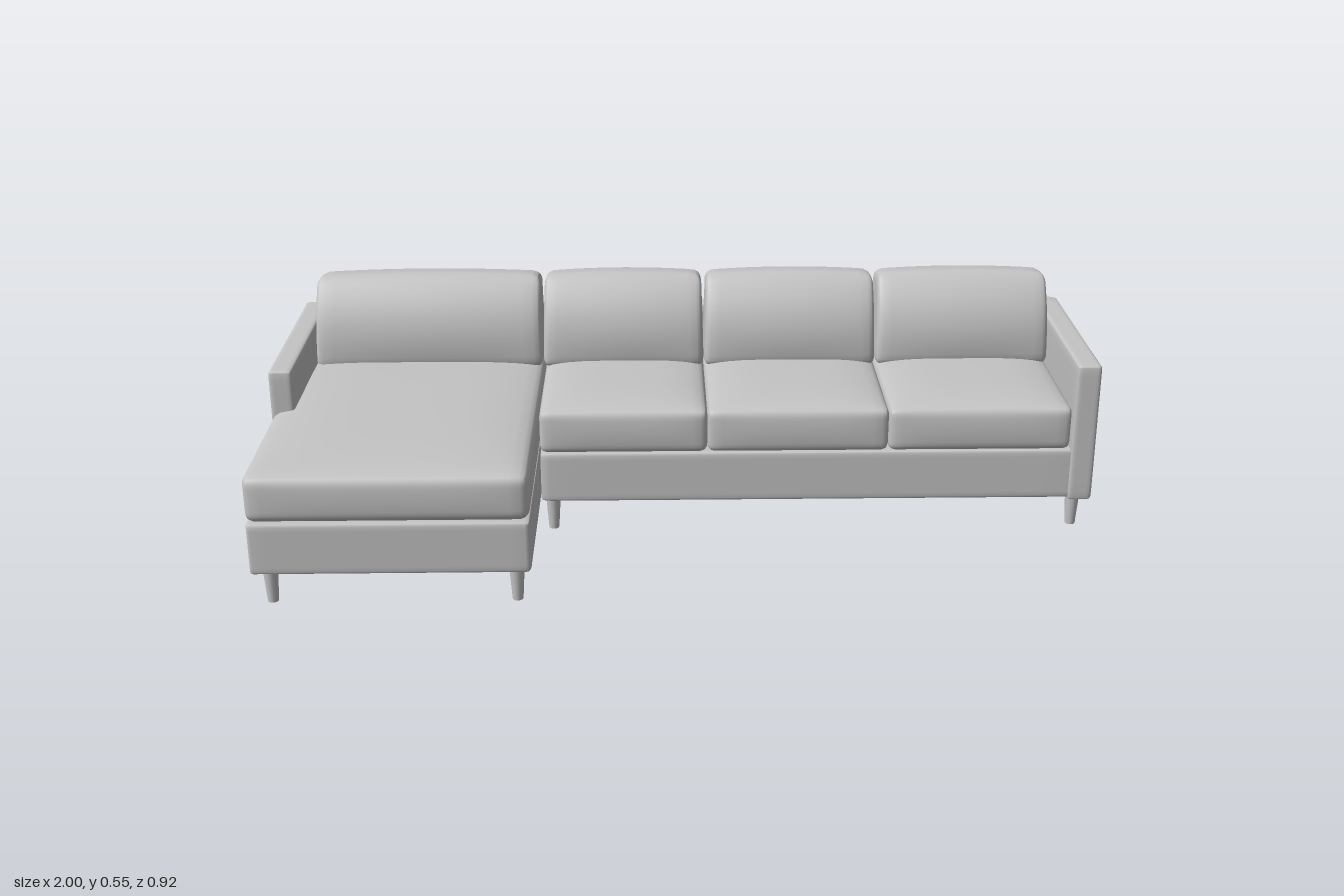
import * as THREE from 'three';
import { mergeVertices } from 'three/addons/utils/BufferGeometryUtils.js';

const fabric = new THREE.MeshStandardMaterial({ color: 0xc4c4c4 });
fabric.name = 'grey fabric';

// Rounded box between two corners; reshape(v, u) may move each point,
// where u is the position inside the box from -1 to 1 on every axis.
function softBox(name, min, max, radius, reshape, segs = 12) {
  const half = max.map((m, i) => (m - min[i]) / 2);
  const mid = max.map((m, i) => (m + min[i]) / 2);
  let geo = new THREE.BoxGeometry(2, 2, 2, segs, segs, segs);
  geo.deleteAttribute('uv');
  geo.deleteAttribute('normal');
  geo = mergeVertices(geo);
  const pos = geo.attributes.position;
  const u = new THREE.Vector3(), v = new THREE.Vector3(), core = new THREE.Vector3();
  const inner = new THREE.Vector3(...half).subScalar(radius);
  const innerMin = inner.clone().negate();
  for (let i = 0; i < pos.count; i++) {
    u.fromBufferAttribute(pos, i);
    // Crowd the grid towards the edges so the rounding is smooth
    v.set(...u.toArray().map((c, k) => Math.sin(c * Math.PI / 2) * half[k]));
    core.copy(v).clamp(innerMin, inner);
    v.sub(core).setLength(radius).add(core);
    u.set(v.x / half[0], v.y / half[1], v.z / half[2]);
    v.add(new THREE.Vector3(...mid));
    if (reshape) reshape(v, u);
    pos.setXYZ(i, v.x, v.y, v.z);
  }
  geo.computeVertexNormals();
  const mesh = new THREE.Mesh(geo, fabric);
  mesh.name = name;
  return mesh;
}

// Seat cushion: crowned top and slightly bulging front
const crown = (height) => (v, u) => {
  const fx = 1 - u.x ** 4, fz = 1 - u.z ** 4, fy = 1 - u.y ** 2;
  if (u.y > 0) v.y += height * fx * fz * u.y;
  if (u.z > 0) v.z += 0.006 * fx * fy * u.z;
};

// Back cushion: thick at the bottom, leaning to a thinner rounded top
const lean = (v, u) => {
  const t = (u.y + 1) / 2, front = (u.z + 1) / 2;
  v.z -= 0.075 * t ** 3 * front;
  if (u.z > 0) v.z += 0.01 * (1 - u.x ** 2) * (1 - u.y ** 2) * u.z;
  if (u.y > 0) v.y += (0.008 * (1 - u.x ** 2) - 0.016 * (1 - front) ** 2) * u.y;
  v.x -= Math.sign(u.x) * 0.006 * t * Math.abs(u.x);
};

export function createModel() {
  const sofa = new THREE.Group();
  sofa.name = 'sectionalSofa';

  // Bases
  sofa.add(softBox('chaiseBase', [-0.997, 0.08, -0.45], [-0.36, 0.207, 0.455], 0.01));
  sofa.add(softBox('sofaBase', [-0.358, 0.08, -0.45], [0.96, 0.21, 0.07], 0.01));

  // Back panels, with a narrow gap where the two units meet
  sofa.add(softBox('chaiseBack', [-0.998, 0.077, -0.459], [-0.364, 0.43, -0.41], 0.01));
  sofa.add(softBox('sofaBack', [-0.359, 0.077, -0.464], [0.995, 0.432, -0.41], 0.01));

  // Arms
  sofa.add(softBox('rightArm', [-1, 0.076, -0.459], [-0.943, 0.43, 0.075], 0.01));
  sofa.add(softBox('leftArm', [0.94, 0.076, -0.462], [1, 0.43, 0.076], 0.01));

  // Seat cushions
  sofa.add(softBox('chaiseCushion', [-0.998, 0.207, -0.4], [-0.36, 0.321, 0.455], 0.024, crown(0.019), 18));
  const seams = [-0.358, 0.05, 0.492, 0.938];
  for (let i = 0; i < 3; i++) {
    sofa.add(softBox('seatCushion' + (i + 1), [seams[i], 0.21, -0.4], [seams[i + 1], 0.32, 0.074], 0.018, crown(0.018), 16));
  }

  // Back cushions
  const ends = [-0.945, -0.363, 0.05, 0.492, 0.938];
  for (let i = 0; i < 4; i++) {
    sofa.add(softBox('backCushion' + (i + 1), [ends[i], 0.315, -0.41], [ends[i + 1], 0.542, -0.24], 0.022, lean, 16));
  }

  // Tapered legs
  const legShape = new THREE.CylinderGeometry(0.018, 0.0125, 0.085, 16);
  const legs = [
    [-0.955, 0.42], [-0.395, 0.42], [-0.955, -0.422], [-0.395, -0.422],
    [-0.33, 0.04], [0.96, 0.04], [-0.33, -0.422], [0.96, -0.422],
  ];
  legs.forEach(([x, z], i) => {
    const leg = new THREE.Mesh(legShape, fabric);
    leg.name = 'leg' + (i + 1);
    leg.position.set(x, 0.0425, z);
    sofa.add(leg);
  });

  return sofa;
}
